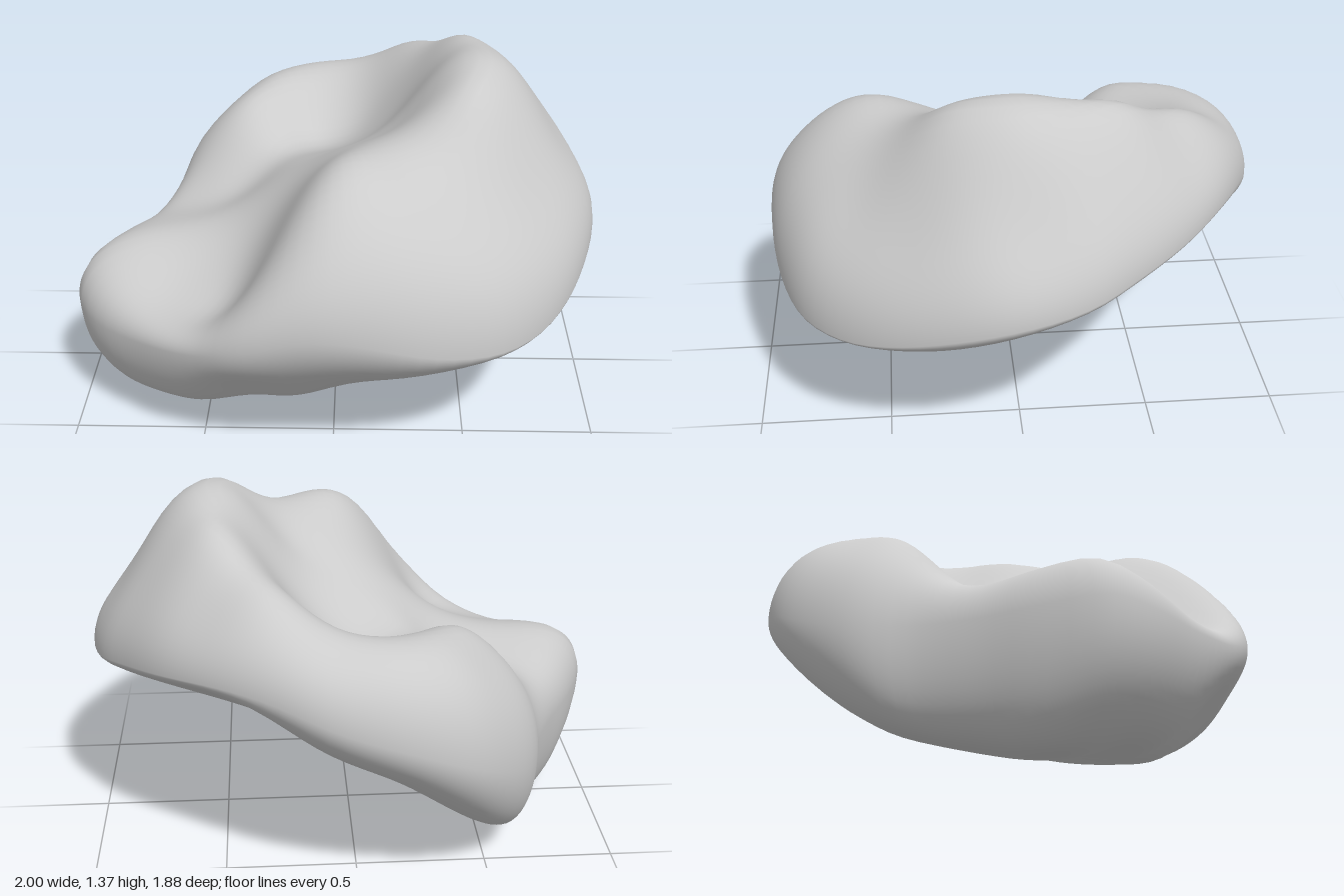
import * as THREE from 'three';

// Widest outline (x, z, y), whose height climbs to the back right
const RIM = [[1, .08, .73], [.95, -.2, .78], [.86, -.36, .82], [.7, -.57, .87], [.5, -.74, .9], [.3, -.85, .88],
  [.1, -.92, .81], [-.15, -.94, .73], [-.38, -.88, .63], [-.55, -.74, .53], [-.66, -.58, .47], [-.71, -.38, .45],
  [-.8, -.18, .44], [-.93, .05, .44], [-1, .26, .45], [-.92, .42, .44], [-.72, .6, .46], [-.5, .77, .52],
  [-.33, .88, .6], [-.1, .93, .68], [.1, .93, .67], [.35, .89, .6], [.6, .79, .56], [.78, .62, .57], [.92, .38, .64]];

// Heights of the lumpy top (x, z, y)
const TOP = [
  // back lobe and hollow
  [-.48, -.6, .88], [-.38, -.44, .97], [-.25, -.6, 1.02], [0, -.72, 1.05], [.1, -.82, 1.02], [-.55, -.37, .8],
  [-.62, -.2, .66], [-.35, -.12, .76], [-.12, -.38, .86], [.12, -.42, .96], [-.2, -.1, .86],
  // high right crest and its outer flank
  [.3, -.6, 1.19], [.5, -.36, 1.31], [.55, 0, 1.37], [.52, .28, 1.3], [.4, 0, 1.31], [.7, 0, 1.27],
  [.72, -.25, 1.18], [.72, .2, 1.17], [.85, 0, 1.04], [.78, -.35, 1.04], [.75, .4, .95], [.55, -.6, 1.08],
  // front lump and middle saddle
  [.25, .42, 1.18], [0, .5, 1.15], [-.1, .65, 1.05], [.3, .6, 1.09], [.55, .6, .95], [.35, .75, .95], [0, .8, 1],
  [.26, .1, 1.15], [.25, -.2, 1.07], [0, .15, 1.03], [-.25, .15, .86],
  // left lobe and groove
  [-.5, .15, .72], [-.75, .2, .68], [-.3, .4, .76], [-.45, .5, .62], [-.35, .62, .66], [-.62, .5, .58],
  [-.78, .37, .62], [-.22, .72, .87]];

// Heights of the underside (x, z, y)
const UNDER = [
  [-.78, .06, .02], [-.84, .22, .07], [-.72, .2, .01], [-.6, .25, .05], [-.6, -.2, .05], [-.62, -.38, .12],
  [-.48, -.65, .27], [-.15, -.8, .53], [.1, -.55, .55], [.15, -.8, .68], [.4, -.65, .79], [.65, -.4, .74],
  [.85, 0, .63], [.5, -.1, .53], [0, -.15, .34], [-.3, -.3, .25], [0, .25, .25], [-.25, .3, .16], [.5, .35, .42],
  [.82, .3, .55], [-.4, .4, .11], [-.15, .6, .23], [-.5, .56, .18], [-.35, .7, .34], [0, .8, .44], [.25, .7, .39],
  [.55, .65, .46]];

// Radius of a closed outline as a function of angle
function radial(points) {
  const curve = new THREE.CatmullRomCurve3(points.map(([x, z]) => new THREE.Vector3(x, 0, z)), true);
  const polar = curve.getPoints(400).map(p => [Math.atan2(p.z, p.x), Math.hypot(p.x, p.z)]);
  polar.sort((a, b) => a[0] - b[0]);
  const n = polar.length, turn = 2 * Math.PI;
  return angle => {
    const a = Math.atan2(Math.sin(angle), Math.cos(angle));
    const k = Math.max(0, polar.findIndex(p => p[0] > a));
    const [a0, r0] = polar[(k + n - 1) % n], [a1, r1] = polar[k];
    const span = (a1 - a0 + turn) % turn || 1;
    return r0 + (r1 - r0) * ((a - a0 + turn) % turn) / span;
  };
}

// Smooth surface through scattered values (multiquadric interpolation)
function scattered(points) {
  const phi = (x, z, p) => Math.sqrt((x - p[0]) ** 2 + (z - p[1]) ** 2 + .02);
  const m = points.map(p => [...points.map(q => phi(p[0], p[1], q)), p[2]]);
  const n = m.length;
  for (let i = 0; i < n; i++) {
    let best = i;
    for (let j = i + 1; j < n; j++) if (Math.abs(m[j][i]) > Math.abs(m[best][i])) best = j;
    [m[i], m[best]] = [m[best], m[i]];
    for (let j = 0; j < n; j++) {
      if (j === i) continue;
      const f = m[j][i] / m[i][i];
      for (let k = i; k <= n; k++) m[j][k] -= f * m[i][k];
    }
  }
  const weight = m.map((row, i) => row[n] / row[i]);
  return (x, z) => points.reduce((sum, p, i) => sum + weight[i] * phi(x, z, p), 0);
}

export function createModel() {
  const rim = radial(RIM), rimY = scattered(RIM);

  // A height field that rounds off into the rim; power sets how tight the edge is
  function side(points, power) {
    const falloff = t => Math.sqrt(Math.max(0, 1 - t ** power));
    const height = scattered(points.map(([x, z, y]) => {
      const a = Math.atan2(z, x), r = rim(a), edge = rimY(r * Math.cos(a), r * Math.sin(a));
      return [x, z, edge + (y - edge) / falloff(Math.hypot(x, z) / r)];
    }));
    return (x, z, t, edge) => edge + (height(x, z) - edge) * falloff(t);
  }
  const top = side(TOP, 4), under = side(UNDER, 8);

  // Rings run from the middle of the top, over the rim, to the middle of the underside
  const SIDES = 96, HALF = 28, rings = HALF * 2;
  const positions = [], index = [];
  for (let j = 0; j <= rings; j++) {
    const t = Math.sin(j / rings * Math.PI);
    for (let i = 0; i < SIDES; i++) {
      const a = i / SIDES * Math.PI * 2, c = Math.cos(a), s = Math.sin(a), R = rim(a);
      const x = R * t * c, z = R * t * s, edge = rimY(R * c, R * s);
      const y = j <= HALF ? top(x, z, t, edge) : Math.max(0, under(x, z, t, edge));
      positions.push(x, y, z);
    }
  }
  // Each end ring is a single point: share one vertex there
  const last = rings * SIDES;
  const weld = n => n < SIDES ? 0 : n >= last ? last : n;
  for (let j = 0; j < rings; j++) {
    for (let i = 0; i < SIDES; i++) {
      const p = j * SIDES + i, q = j * SIDES + (i + 1) % SIDES, u = p + SIDES, v = q + SIDES;
      if (j > 0) index.push(weld(p), weld(q), weld(u));
      if (j < rings - 1) index.push(weld(q), weld(v), weld(u));
    }
  }

  const geometry = new THREE.BufferGeometry();
  geometry.setAttribute('position', new THREE.Float32BufferAttribute(positions, 3));
  geometry.setIndex(index);
  geometry.computeVertexNormals();

  const body = new THREE.Mesh(geometry, new THREE.MeshStandardMaterial({ color: 0xcccccc }));
  body.name = 'lumpyBody';
  const group = new THREE.Group();
  group.name = 'lumpyStone';
  group.add(body);
  return group;
}
